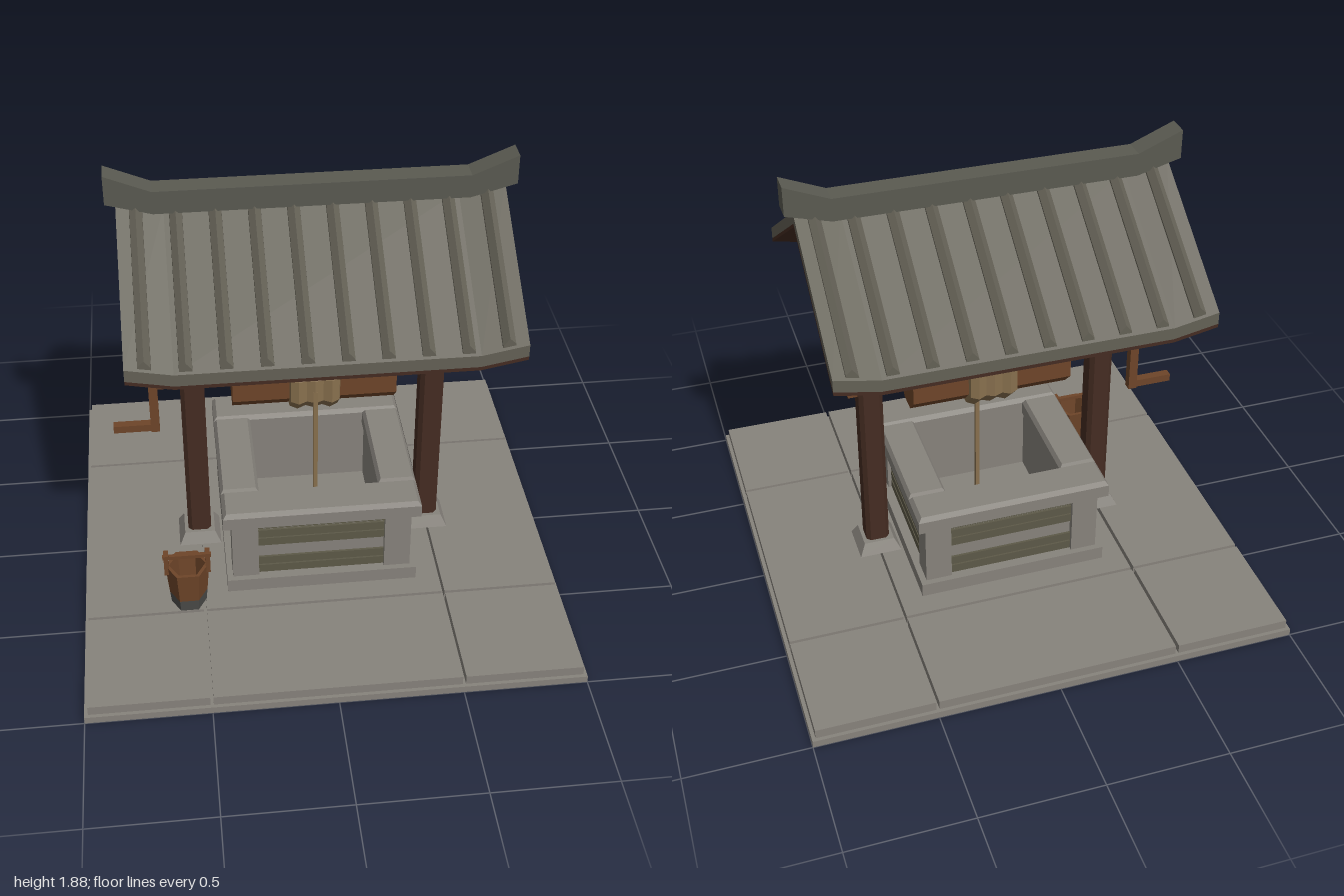
import * as THREE from 'three';

const mat = (name, color) => {
  const m = new THREE.MeshStandardMaterial({ color });
  m.name = name;
  return m;
};

export function createModel() {
  const model = new THREE.Group();
  model.name = 'well';
  const stone = mat('stone', 0x87837c);
  const mossStone = mat('mossStone', 0x5d5948);
  const tile = mat('roofTile', 0x646156);
  const ridgeTile = mat('ridgeTile', 0x5a5a51);
  const darkWood = mat('darkWood', 0x452c22);
  const wood = mat('wood', 0x6e4529);
  const rope = mat('rope', 0x88704e);
  const iron = mat('iron', 0x4c4c49);

  // Adds a faceted mesh
  const add = (name, geo, material, x = 0, y = 0, z = 0, parent = model) => {
    const flat = geo.index ? geo.toNonIndexed() : geo;
    flat.computeVertexNormals();
    const mesh = new THREE.Mesh(flat, material);
    mesh.name = name;
    mesh.position.set(x, y, z);
    parent.add(mesh);
    return mesh;
  };
  // Box given by its lower and upper limits
  const box = (name, material, [x0, x1], [y0, y1], [z0, z1], parent) =>
    add(name, new THREE.BoxGeometry(x1 - x0, y1 - y0, z1 - z0), material,
      (x0 + x1) / 2, (y0 + y1) / 2, (z0 + z1) / 2, parent);
  const reshape = (geo, rule) => {
    const p = geo.attributes.position;
    const v = new THREE.Vector3();
    for (let i = 0; i < p.count; i++) {
      rule(v.fromBufferAttribute(p, i));
      p.setXYZ(i, v.x, v.y, v.z);
    }
    return geo;
  };
  // Block whose top (w2 x d2) differs from its bottom (w1 x d1), standing on y0
  const taper = (name, material, w1, d1, w2, d2, y0, y1, x, z) =>
    add(name, reshape(new THREE.BoxGeometry(1, y1 - y0, 1), v => {
      v.x *= v.y > 0 ? w2 : w1;
      v.z *= v.y > 0 ? d2 : d1;
    }), material, x, (y0 + y1) / 2, z);
  const polygon = pts => new THREE.Shape(pts.map(p => new THREE.Vector2(...p)));
  const extrude = (pts, depth) =>
    new THREE.ExtrudeGeometry(polygon(pts), { depth, bevelEnabled: false });
  const lathe = (pts, sides) => new THREE.LatheGeometry(
    pts.map(p => new THREE.Vector2(...p)), sides, Math.PI / sides);

  // Paved ground
  box('groundSlab', stone, [-1, 1], [0, 0.03], [-1, 1]);
  const spans = [[-0.985, -0.508], [-0.495, 0.495], [0.508, 0.985]];
  for (const sx of spans) for (const sz of spans) box('pavingStone', stone, sx, [0.03, 0.07], sz);

  // Well basin
  box('plinth', stone, [-0.4, 0.4], [0.07, 0.13], [-0.4, 0.4]);
  for (const s of [-1, 1]) {
    for (const t of [-1, 1])
      add('cornerPost', new THREE.BoxGeometry(0.11, 0.29, 0.11), stone, s * 0.32, 0.275, t * 0.32);
    add('wall', new THREE.BoxGeometry(0.54, 0.29, 0.09), stone, 0, 0.275, s * 0.305);
    add('wall', new THREE.BoxGeometry(0.09, 0.29, 0.54), stone, s * 0.305, 0.275, 0);
    for (const y of [0.39, 0.342, 0.298, 0.195, 0.15])
      add('wallCourse', new THREE.BoxGeometry(0.53, 0.038, 0.02), mossStone, 0, y, s * 0.35);
    for (const y of [0.35, 0.297, 0.25, 0.2, 0.15])
      add('wallCourse', new THREE.BoxGeometry(0.02, 0.038, 0.53), mossStone, s * 0.35, y, 0);
    // Rim planks with a bevelled top
    add('rimStone', new THREE.BoxGeometry(0.82, 0.055, 0.16), stone, 0, 0.4475, s * 0.33);
    taper('rimBevel', stone, 0.82, 0.16, 0.79, 0.135, 0.475, 0.495, 0, s * 0.33);
    add('rimStone', new THREE.BoxGeometry(0.16, 0.055, 0.5), stone, s * 0.33, 0.4475, 0);
    taper('rimBevel', stone, 0.16, 0.5, 0.135, 0.48, 0.475, 0.495, s * 0.33, 0);
  }

  // Posts with feet, capitals and cross beams
  const a = 0.05, c = 0.033;
  const postSection = [[a, -c], [a, c], [c, a], [-c, a], [-a, c], [-a, -c], [-c, -a], [c, -a]];
  for (const s of [-1, 1]) {
    taper('postFoot', stone, 0.18, 0.18, 0.13, 0.13, 0.07, 0.12, s * 0.5, 0);
    add('post', extrude(postSection, 1.2).rotateX(-Math.PI / 2), darkWood, s * 0.5, 0.12, 0);
    taper('capital', darkWood, 0.1, 0.1, 0.12, 0.16, 1.31, 1.38, s * 0.5, 0);
    taper('crossBeam', darkWood, 0.1, 0.4, 0.1, 0.55, 1.38, 1.45, s * 0.5, 0);
    box('purlin', darkWood, [-0.62, 0.62], [1.45, 1.505], s < 0 ? [-0.25, -0.2] : [0.2, 0.25]);
    // Gable board
    add('gable', extrude([[-0.25, 1.485], [0.25, 1.485], [0, 1.655]], 0.03)
      .rotateY(Math.PI / 2), wood, s * 0.6 - 0.015, 0, 0);
  }

  // Roof: sheets sloping to the eaves, with upturned ends
  const slope = 0.66, run = 0.575;
  const lift = x => 0.035 * Math.max(0, (Math.abs(x) - 0.57) / 0.18);
  const sheet = (apex, thickness) => reshape(
    new THREE.BoxGeometry(1.5, thickness, run, 3, 1, 1), v => {
      if (Math.abs(v.x) < 0.5) v.x = Math.sign(v.x) * 0.57;
      v.z += run / 2;
      v.y += apex - thickness / 2 - slope * v.z + lift(v.x);
    });
  for (const turn of [0, Math.PI]) {
    const side = new THREE.Group();
    side.name = turn ? 'backRoof' : 'frontRoof';
    side.rotation.y = turn;
    model.add(side);
    add('roofBoards', sheet(1.66, 0.015), darkWood, 0, 0, 0, side);
    add('roofTiles', sheet(1.71, 0.05), tile, 0, 0, 0, side);
    for (let i = 0; i < 10; i++) {
      const x = -0.675 + i * 0.15;
      const rib = extrude([[-0.026, -0.01], [0.026, -0.01], [0.024, 0.008], [0, 0.036], [-0.024, 0.008]], 0.565);
      reshape(rib, v => { v.y += 1.71 - slope * v.z + lift(x + v.x); });
      add('roofRib', rib, tile, x, 0, 0, side);
    }
  }
  add('ridge', extrude([[-0.79, 1.755], [-0.61, 1.705], [0.61, 1.705], [0.79, 1.755],
    [0.79, 1.875], [0.61, 1.8], [-0.61, 1.8], [-0.79, 1.875]], 0.09), ridgeTile, 0, 0, -0.045);

  // Windlass: axle, drum, crank and rope
  const axisY = 0.885;
  box('axle', wood, [-0.66, 0.59], [0.867, 0.903], [-0.018, 0.018]);
  const drum = lathe([[0, -0.338], [0.113, -0.338], [0.113, 0.338], [0, 0.338]], 8);
  add('drum', drum.rotateZ(Math.PI / 2), wood, 0, axisY, 0);
  box('crankArm', wood, [-0.68, -0.643], [0.65, 0.915], [-0.019, 0.019]);
  box('crankHandle', wood, [-0.835, -0.65], [0.655, 0.688], [-0.018, 0.018]);
  const coil = lathe([[0.11, -0.105], [0.13, -0.1], [0.145, -0.068], [0.132, -0.034], [0.143, 0],
    [0.132, 0.034], [0.145, 0.068], [0.13, 0.1], [0.11, 0.105]], 8);
  add('ropeCoil', coil.rotateZ(Math.PI / 2), rope, 0, axisY, 0);
  box('hangingRope', rope, [-0.009, 0.009], [0.15, axisY], [0.115, 0.133]);

  // Bucket
  const bucket = new THREE.Group();
  bucket.name = 'bucket';
  bucket.position.set(-0.565, 0.07, 0.43);
  model.add(bucket);
  add('bucketBand', lathe([[0, 0], [0.073, 0], [0.078, 0.055]], 6), iron, 0, 0, 0, bucket);
  add('bucketStaves', lathe([[0.078, 0.055], [0.091, 0.2], [0.075, 0.2], [0.062, 0.03], [0, 0.03]], 6),
    wood, 0, 0, 0, bucket);
  for (const s of [-1, 1])
    add('bucketEar', new THREE.BoxGeometry(0.02, 0.1, 0.04), wood, s * 0.085, 0.215, 0, bucket);
  add('bucketHandle', new THREE.BoxGeometry(0.2, 0.016, 0.016), wood, 0, 0.245, 0, bucket);

  return model;
}
